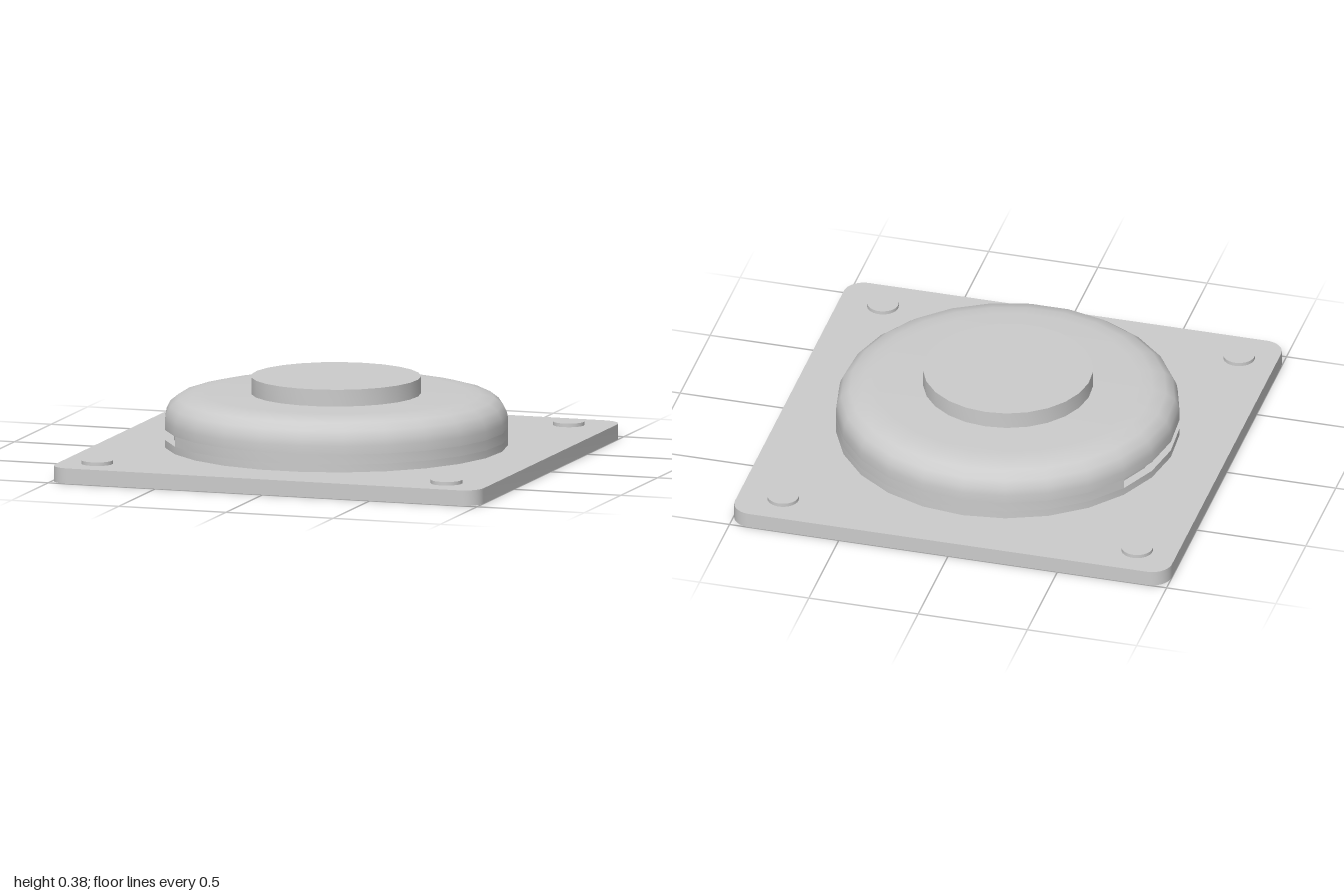
import * as THREE from 'three';
import { toCreasedNormals } from 'three/addons/utils/BufferGeometryUtils.js';

const SIDES = 25;
const STEP = (Math.PI * 2) / SIDES;
const material = new THREE.MeshStandardMaterial({ color: 0xcccccc });
const thinMaterial = new THREE.MeshStandardMaterial({ color: 0xcccccc, side: THREE.DoubleSide });

function add(parent, name, geometry, mat = material) {
  const mesh = new THREE.Mesh(geometry, mat);
  mesh.name = name;
  parent.add(mesh);
  return mesh;
}

// Revolved profile covering `count` sides, starting `first` sides round from the back
function turned(points, first = 0, count = SIDES) {
  const profile = points.map(([r, y]) => new THREE.Vector2(r, y));
  const lathe = new THREE.LatheGeometry(profile, count, Math.PI + first * STEP, count * STEP);
  return toCreasedNormals(lathe, 0.7);
}

function roundedSquare(half, radius, Type = THREE.Shape) {
  const s = new Type();
  const c = half - radius;
  s.absarc(c, c, radius, 0, Math.PI / 2);
  s.absarc(-c, c, radius, Math.PI / 2, Math.PI);
  s.absarc(-c, -c, radius, Math.PI, Math.PI * 1.5);
  s.absarc(c, -c, radius, Math.PI * 1.5, Math.PI * 2);
  s.closePath();
  return s;
}

function slab(shape, y0, y1) {
  const g = new THREE.ExtrudeGeometry(shape, { depth: y1 - y0, bevelEnabled: false, curveSegments: 6 });
  g.rotateX(-Math.PI / 2).translate(0, y0, 0);
  return toCreasedNormals(g, 0.7);
}

export function createModel() {
  const model = new THREE.Group();
  model.name = 'domedPlate';

  // Base tray: a top sheet with a thin skirt, open underneath
  const base = new THREE.Group();
  base.name = 'basePlate';
  model.add(base);
  add(base, 'plateTop', slab(roundedSquare(1, 0.09), 0.062, 0.069));
  const skirt = roundedSquare(1, 0.09);
  skirt.holes.push(roundedSquare(0.988, 0.078, THREE.Path));
  add(base, 'plateSkirt', slab(skirt, 0, 0.062));

  // Corner studs
  for (const [x, z] of [[-0.82, -0.835], [0.8, -0.835], [-0.83, 0.83], [0.8, 0.83]]) {
    add(model, 'cornerStud', new THREE.CylinderGeometry(0.07, 0.07, 0.025, SIDES)).position.set(x, 0.0725, z);
  }

  // Dome, with a recessed slot on its right side
  const dome = new THREE.Group();
  dome.name = 'dome';
  model.add(dome);
  const R = 0.76, inner = 0.72, low = 0.103, high = 0.148;
  const slotStart = 4, slotSides = 5;
  add(dome, 'domeFoot', turned([[0, 0.06], [R, 0.06], [R, low]]));
  add(dome, 'domeWall', turned([[R, low], [R, high]], slotStart + slotSides, SIDES - slotSides));
  add(dome, 'slotRecess', turned([[R, low], [inner, low], [inner, high], [R, high]], slotStart, slotSides));
  add(dome, 'domeShell', turned([
    [R, high], [R, 0.185], [0.755, 0.215], [0.738, 0.25], [0.7, 0.28], [0.64, 0.296], [0.58, 0.3], [0, 0.3],
  ]));

  // Slot end walls
  for (const k of [slotStart, slotStart + slotSides]) {
    const phi = Math.PI + k * STEP;
    const mid = (R + inner) / 2;
    const end = add(dome, 'slotEnd', new THREE.PlaneGeometry(R - inner, high - low), thinMaterial);
    end.position.set(mid * Math.sin(phi), (low + high) / 2, mid * Math.cos(phi));
    end.rotation.y = phi - Math.PI / 2;
  }

  // Raised round button on top
  add(model, 'topButton', turned([[0, 0.29], [0.376, 0.29], [0.376, 0.375], [0, 0.375]]));

  return model;
}
